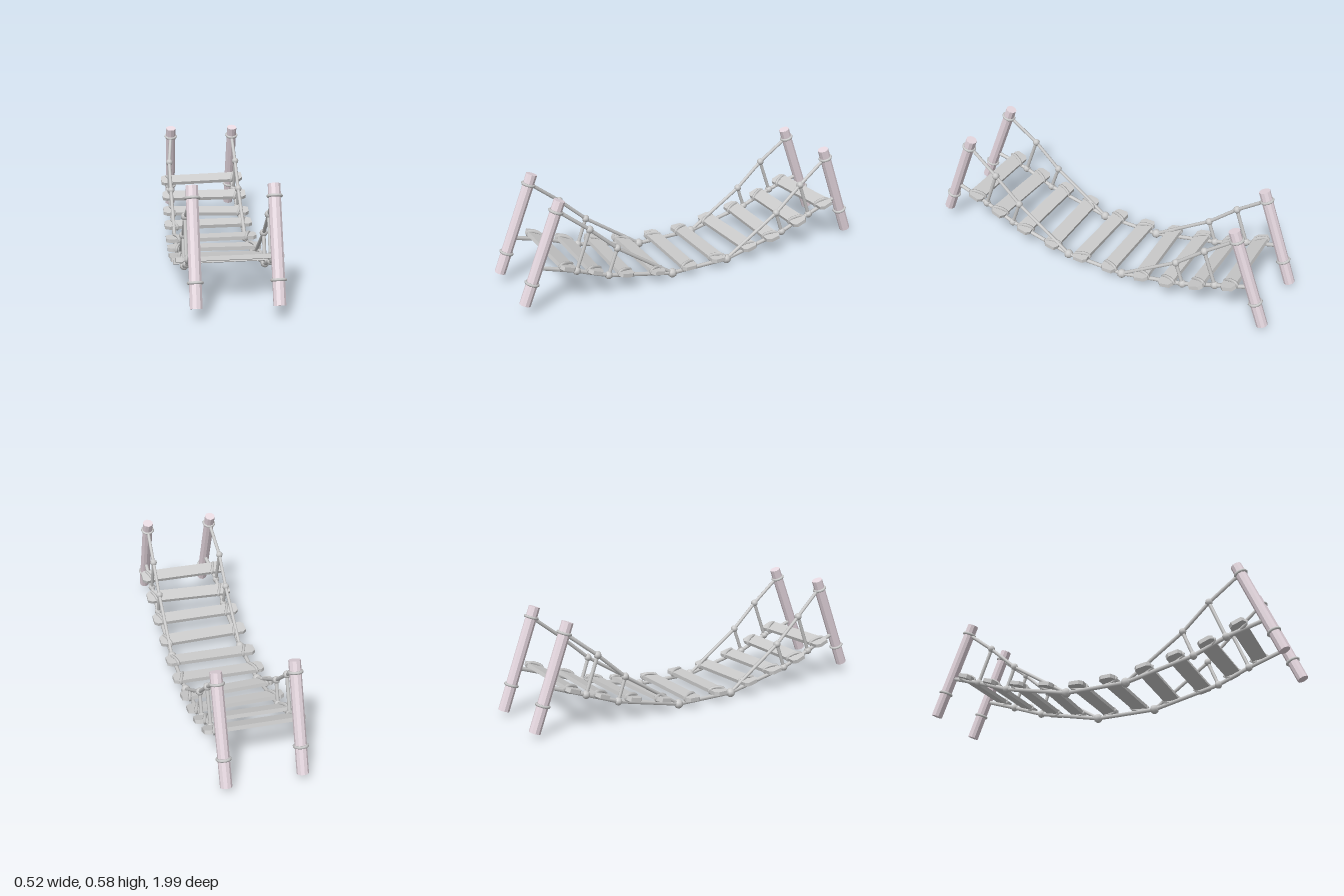
import * as THREE from 'three';

const grey = new THREE.MeshStandardMaterial({ color: 0xcccccc });
const flatGrey = new THREE.MeshStandardMaterial({ color: 0xcccccc, flatShading: true });
const wood = new THREE.MeshStandardMaterial({ color: 0xe6d8e0, flatShading: true });
const UP = new THREE.Vector3(0, 1, 0);
const V = (x, y, z) => new THREE.Vector3(x, y, z);

function add(parent, name, geometry, material) {
  const mesh = new THREE.Mesh(geometry, material);
  mesh.name = name;
  parent.add(mesh);
  return mesh;
}

// Cylinder running from a to b
function rod(parent, name, a, b, radius, sides, material) {
  const dir = b.clone().sub(a);
  const mesh = add(parent, name, new THREE.CylinderGeometry(radius, radius, dir.length(), sides), material);
  mesh.position.copy(a).add(b).multiplyScalar(0.5);
  mesh.quaternion.setFromUnitVectors(UP, dir.normalize());
  return mesh;
}

function knot(parent, p, r = 0.02) {
  const mesh = add(parent, 'knot', new THREE.SphereGeometry(r, 8, 6), grey);
  mesh.position.copy(p);
}

// Leaning post with two rope rings
function post(parent, bottom, top, ringHeights) {
  const group = new THREE.Group();
  group.name = 'post';
  rod(group, 'postLog', bottom, top, 0.029, 10, wood);
  const dir = top.clone().sub(bottom).normalize();
  for (const y of ringHeights) {
    const ring = add(group, 'postRing', new THREE.TorusGeometry(0.031, 0.0075, 6, 12), grey);
    ring.position.copy(bottom).addScaledVector(dir, (y - bottom.y) / dir.y);
    ring.quaternion.setFromUnitVectors(V(0, 0, 1), dir);
  }
  parent.add(group);
}

// Board with chamfered ends, lying flat along x
function boardGeometry(length, width, thick) {
  const h = length / 2, w = width / 2;
  const outline = [
    [-h, -w * 0.65], [-h + 0.02, -w * 1.05], [-h + 0.075, -w * 0.93],
    [h - 0.075, -w], [h - 0.02, -w * 1.05], [h, -w * 0.6],
    [h, w * 0.7], [h - 0.025, w], [h - 0.08, w * 0.93],
    [-h + 0.075, w], [-h + 0.02, w * 1.05], [-h, w * 0.7],
  ].map(([x, y]) => new THREE.Vector2(x, y));
  const g = new THREE.ExtrudeGeometry(new THREE.Shape(outline), { depth: thick, bevelEnabled: false });
  return g.translate(0, 0, -thick / 2).rotateX(-Math.PI / 2);
}

// Loop of rope wrapped around a board
function lashingGeometry(halfWidth, halfHeight) {
  const pts = [];
  for (let i = 0; i < 8; i++) {
    const a = (i / 8) * Math.PI * 2;
    pts.push(V(0, Math.sin(a) * halfHeight, Math.cos(a) * halfWidth));
  }
  return new THREE.TubeGeometry(new THREE.CatmullRomCurve3(pts, true), 14, 0.009, 5, true);
}

export function createModel() {
  const root = new THREE.Group();
  root.name = 'ropeBridge';

  // Posts, foot ropes, hand ropes and hangers on each side
  const footPath = [[0.24, 0.89], [0.176, 0.695], [0.107, 0.525], [0.026, 0.163],
    [0.026, -0.168], [0.107, -0.522], [0.174, -0.698], [0.24, -0.885]];
  const handPaths = [
    [[0.52, 0.782], [0.382, 0.617], [0.246, 0.473], [0.026, 0.163]],
    [[0.49, -0.792], [0.362, -0.63], [0.228, -0.48], [0.026, -0.168]],
  ];
  for (const side of [-1, 1]) {
    const group = new THREE.Group();
    group.name = side > 0 ? 'leftSide' : 'rightSide';
    root.add(group);
    const postX = side > 0 ? 0.191 : -0.182;
    const ropeX = side > 0 ? 0.194 : -0.202;

    post(group, V(postX, 0.059, 0.97), V(postX, 0.567, 0.762), [0.515, 0.165]);
    post(group, V(postX, 0.027, -0.965), V(postX, 0.542, -0.773), [0.49, 0.155]);

    const place = (path, ends) => path.map(([y, z], i) => V(ends.includes(i) ? postX : ropeX, y, z));
    const foot = place(footPath, [0, 7]);
    for (let i = 0; i < 7; i++) rod(group, 'footRope', foot[i], foot[i + 1], 0.011, 7, grey);
    for (let i = 1; i < 7; i++) knot(group, foot[i], i === 3 || i === 4 ? 0.025 : 0.021);

    handPaths.forEach((path, end) => {
      const hand = place(path, [0]);
      for (let i = 0; i < 3; i++) rod(group, 'handRope', hand[i], hand[i + 1], 0.0095, 7, grey);
      for (const i of [1, 2]) {
        knot(group, hand[i]);
        rod(group, 'hangerRope', hand[i], foot[end ? 7 - i : i], 0.0095, 7, grey);
      }
    });
  }

  // Planks: x, y, z, pitch, yaw, roll
  const planks = [
    [0.005, 0.222, -0.78, 0.36, 0.03, 0.02],
    [0.005, 0.16, -0.615, 0.36, -0.01, 0.01],
    [0, 0.108, -0.445, 0.22, -0.01, -0.02],
    [-0.003, 0.078, -0.285, 0.2, 0.05, -0.01],
    [-0.005, 0.053, -0.1, 0.02, 0.01, 0.01],
    [-0.007, 0.053, 0.075, -0.02, 0, 0],
    [-0.01, 0.073, 0.265, -0.2, 0.03, -0.01],
    [-0.01, 0.108, 0.437, -0.22, 0, -0.02],
    [-0.008, 0.157, 0.602, -0.36, -0.01, 0.01],
    [-0.008, 0.219, 0.757, -0.36, 0.03, 0.01],
  ];
  const board = boardGeometry(0.5, 0.08, 0.02);
  const lashing = lashingGeometry(0.045, 0.017);
  planks.forEach(([x, y, z, pitch, yaw, roll], i) => {
    const group = new THREE.Group();
    group.name = 'plank';
    group.position.set(x, y, z);
    group.rotation.set(pitch, yaw, roll);
    add(group, 'board', board, flatGrey).rotation.y = i % 2 ? Math.PI : 0;
    for (const side of [-1, 1]) {
      const loop = add(group, 'lashing', lashing, grey);
      loop.position.x = side * 0.198 - x;
      loop.rotation.y = side * (i < 5 ? -0.35 : 0.35);
    }
    root.add(group);
  });

  return root;
}
